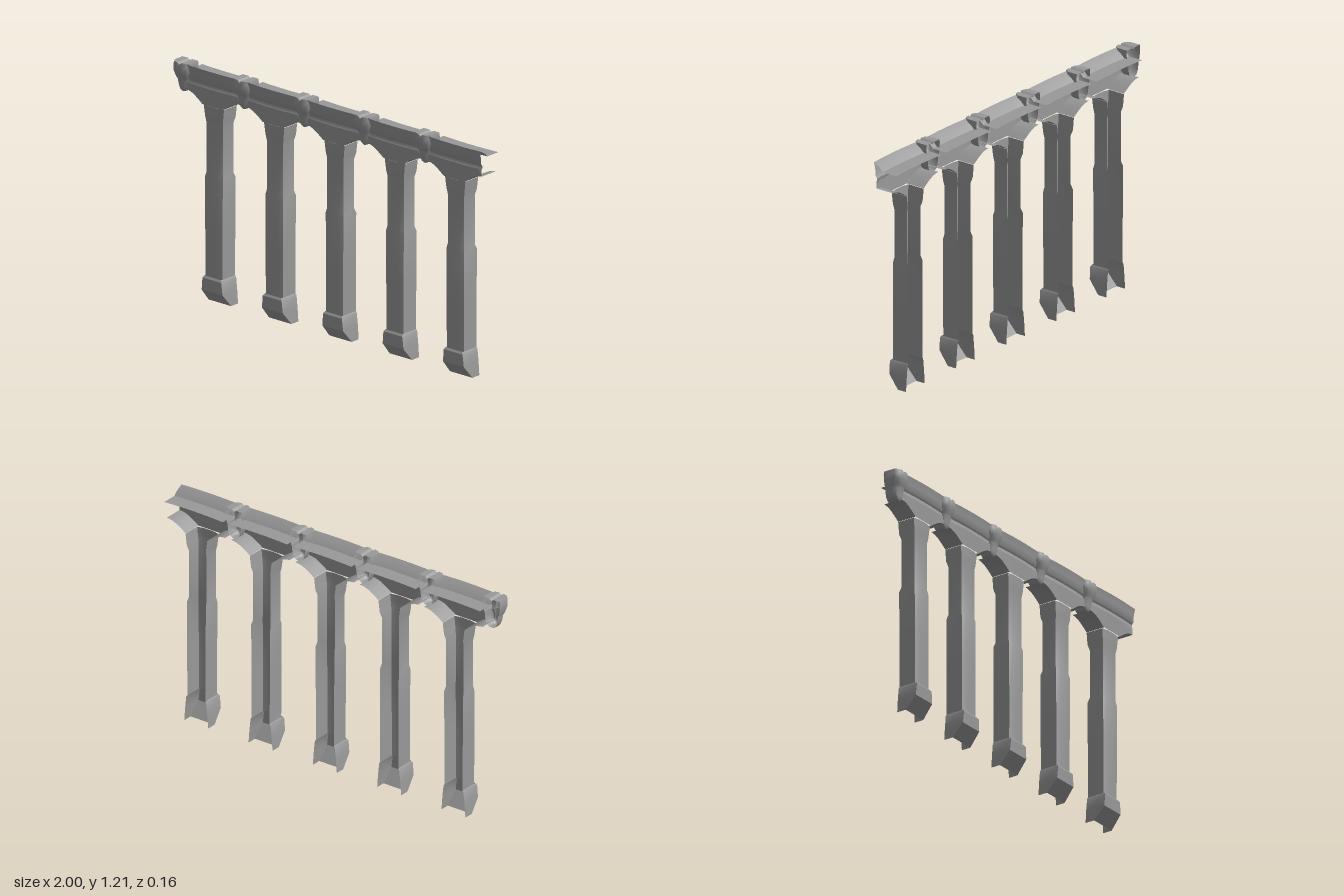
import * as THREE from 'three';
import { toCreasedNormals } from 'three/addons/utils/BufferGeometryUtils.js';

const material = new THREE.MeshStandardMaterial({ color: 0x999999, side: THREE.DoubleSide });

// Skin a surface over rows of points (every row has the same length)
function loft(name, rows, crease = 0.6) {
  const n = rows[0].length;
  const index = [];
  for (let r = 0; r < rows.length - 1; r++) {
    for (let i = 0; i < n - 1; i++) {
      const a = r * n + i, b = a + 1, c = a + n, d = c + 1;
      index.push(a, b, d, a, d, c);
    }
  }
  const geometry = new THREE.BufferGeometry();
  geometry.setAttribute('position', new THREE.Float32BufferAttribute(rows.flat(2), 3));
  geometry.setIndex(index);
  const mesh = new THREE.Mesh(toCreasedNormals(geometry, crease), material);
  mesh.name = name;
  return mesh;
}

const BAY = 0.392;
const HALF = 0.178;
const NECK = 0.066;

// Open-backed pillar: y, half width, front z, back z
function makePillar() {
  const levels = [
    [0.14, 0.055, 0.046, -0.055], [0.4, 0.056, 0.047, -0.055], [0.65, 0.058, 0.046, -0.055],
    [0.675, 0.053, 0.041, -0.045], [0.93, 0.053, 0.041, -0.045], [0.96, 0.058, 0.045, -0.055],
    [0.99, 0.062, 0.046, -0.055], [1.022, NECK, 0.047, -0.055],
  ];
  return loft('pillar', levels.map(([y, w, f, b]) => [
    [-w, y, b], [-w, y, f - 0.008], [-0.028, y, f], [0.028, y, f], [w, y, f - 0.008], [w, y, b],
  ]));
}

// Foot with its front cut away underneath
function makeFoot() {
  const levels = [
    [0, 0.073, -0.005], [0.068, 0.068, 0.052], [0.132, 0.061, 0.054], [0.142, 0.055, 0.046],
  ];
  return loft('foot', levels.map(([y, w, f]) => [[-w, y, -0.056], [-w, y, f], [w, y, f], [w, y, -0.056]]));
}

// Height of the arch underside at a distance from the pillar axis
function archHeight(d) {
  const t = THREE.MathUtils.clamp((Math.abs(d) - NECK) / (HALF - NECK), 0, 1);
  return 1.024 + 0.052 * Math.sin(t * Math.PI / 2);
}

// Gentle forward bulge along each bay
const bow = (x) => 0.007 * (1 - (x / HALF) ** 2);

// Wall over the arch, groove, cornice, lip and rear ledge in one sweep
function makeEntablature() {
  const profile = [
    [1.112, 0.045], [1.118, 0.041], [1.13, 0.041], [1.14, 0.049],
    [1.175, 0.052], [1.21, 0.06], [1.19, 0.024], [1.17, 0.004], [1.17, -0.078],
  ];
  const rows = [];
  for (let i = 0; i <= 16; i++) {
    const x = HALF * (i / 8 - 1);
    const row = [[x, archHeight(x), 0.045 + bow(x) * 0.6]];
    for (const [y, z] of profile) row.push([x, y, z + bow(x)]);
    rows.push(row);
  }
  // Rows run along x, so flip them to keep the front outward
  return loft('entablature', rows.reverse());
}

// Curved underside of the arch on one side of a pillar
function makeSoffit(side) {
  const rows = [];
  for (let i = 0; i <= 8; i++) {
    const d = THREE.MathUtils.lerp(NECK, HALF, i / 8);
    const x = side * d, y = archHeight(d);
    const front = [x, y, 0.045 + bow(x) * 0.6], back = [x, y, -0.055 - 0.003 * i / 8];
    rows.push(side > 0 ? [back, front] : [front, back]);
  }
  return loft('archSoffit', rows);
}

// Carved bracket: hanging rounded nose below, broad notched head above
function makeBracket() {
  const group = new THREE.Group();
  group.name = 'bracket';
  // y, half width, front z, notch depth
  const nose = [
    [1.06, 0.012, 0.044, 0], [1.068, 0.025, 0.049, 0], [1.085, 0.034, 0.051, 0],
    [1.11, 0.039, 0.054, 0], [1.133, 0.04, 0.06, 0],
  ];
  const head = [
    [1.127, 0.041, 0.062, 0], [1.142, 0.046, 0.068, 0], [1.167, 0.051, 0.077, 0],
    [1.195, 0.053, 0.077, 0], [1.213, 0.05, 0.073, 0.01],
  ];
  const section = ([y, w, f, notch]) => [
    [-w, y, -0.01], [-w, y, f - 0.025], [-w * 0.7, y, f - 0.005], [-w * 0.25, y, f],
    [0, y - notch, f],
    [w * 0.25, y, f], [w * 0.7, y, f - 0.005], [w, y, f - 0.025], [w, y, -0.01],
  ];
  const rim = section(head[head.length - 1]);
  const tip = section(nose[0]);
  const toBack = (row) => row.map(([x, y]) => [x, y, -0.01]);
  group.add(
    loft('bracketNose', nose.map(section), 0.8),
    loft('bracketHead', head.map(section), 0.8),
    loft('bracketTop', [rim, toBack(rim)]),
    loft('bracketTip', [toBack(tip), tip]),
  );
  return group;
}

export function createModel() {
  const model = new THREE.Group();
  model.name = 'arcade';
  for (let i = 0; i < 5; i++) {
    const bay = new THREE.Group();
    bay.name = 'bay';
    bay.position.x = 1 - HALF - (4 - i) * BAY;
    const bracket = makeBracket();
    bracket.position.x = -BAY / 2;
    bay.add(makeFoot(), makePillar(), makeEntablature(), makeSoffit(1), makeSoffit(-1), bracket);
    model.add(bay);
  }
  return model;
}
